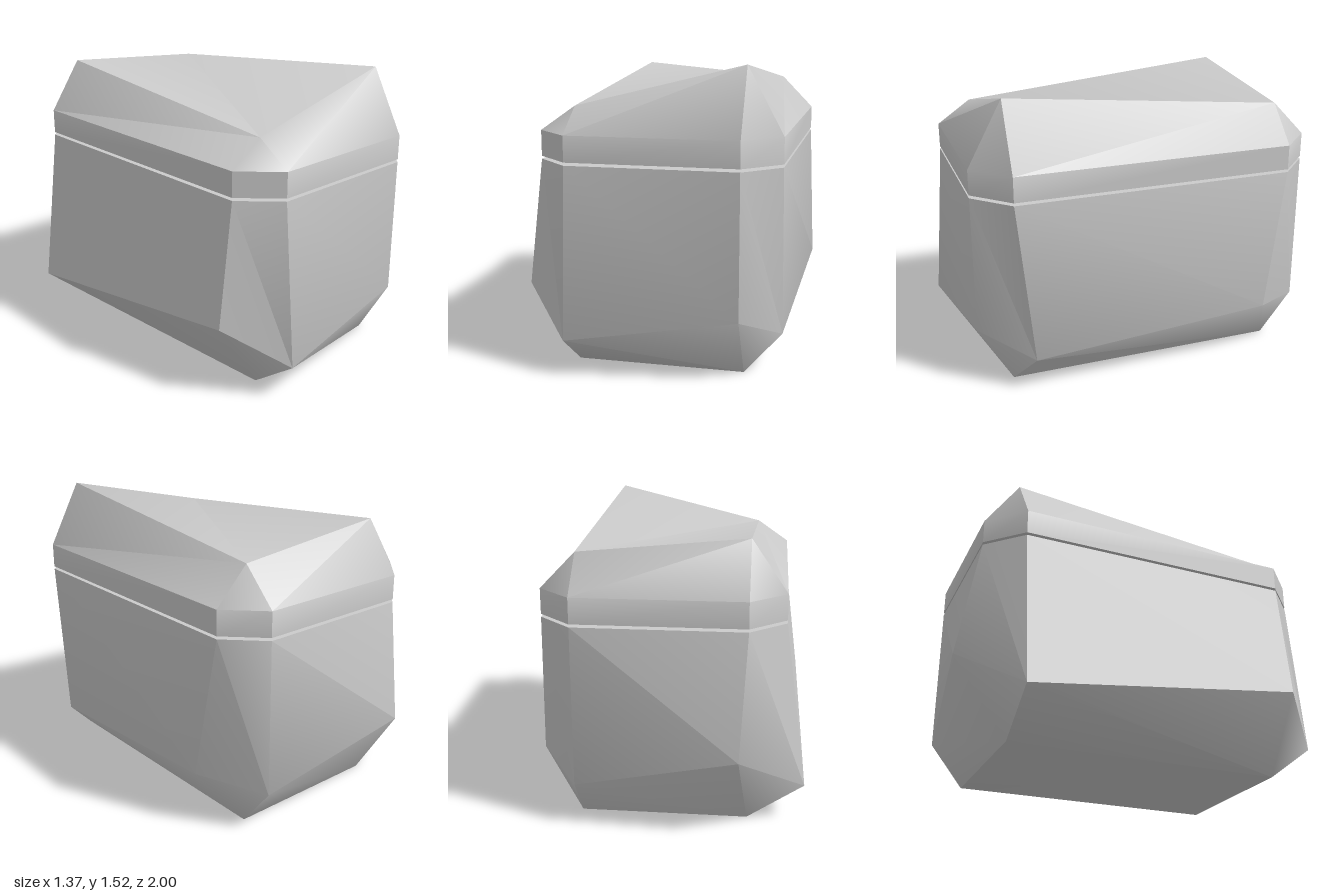
import * as THREE from 'three';
import { toCreasedNormals } from 'three/addons/utils/BufferGeometryUtils.js';

const material = new THREE.MeshStandardMaterial({ color: 0xcccccc });

// Plan of the box: four corners, each cut off between two rim points.
// Corners run front left, back left, back right, front right (seen from above).
const L = 0.46, R = -0.395, F = 0.75, B = -0.72, bevel = 0.18;
const corners = [[L, F], [L, B], [R, B], [R, F]];

function rim(y) {
  return corners.flatMap(([x, z], k) => {
    const side = [x + Math.sign(x) * bevel, y, z];
    const end = [x, y, z + Math.sign(z) * bevel];
    return k % 2 ? [side, end] : [end, side];
  });
}

const cap = (heights) => corners.map(([x, z], k) => [x, heights[k], z]);

// Closed shell: octagonal rim, wall, bevelled shoulder and four-cornered cap.
// flip turns the faces for a shell that grows downwards.
function shell(name, rimPoints, shoulder, capPoints, flip) {
  const pos = [];
  const tri = (a, b, c) => pos.push(...a, ...(flip ? [...c, ...b] : [...b, ...c]));
  const quad = (a, b, c, d) => { tri(a, b, c); tri(a, c, d); };
  for (let i = 0; i < 8; i++) {
    const j = (i + 1) % 8;
    quad(rimPoints[i], rimPoints[j], shoulder[j], shoulder[i]);
    if (i > 0 && i < 7) tri(rimPoints[0], rimPoints[j], rimPoints[i]);
  }
  for (let k = 0; k < 4; k++) {
    const n = (k + 1) % 4;
    tri(shoulder[2 * k], shoulder[2 * k + 1], capPoints[k]);
    quad(shoulder[2 * k + 1], shoulder[2 * n], capPoints[n], capPoints[k]);
  }
  quad(capPoints[1], capPoints[2], capPoints[3], capPoints[0]);
  const geometry = new THREE.BufferGeometry();
  geometry.setAttribute('position', new THREE.Float32BufferAttribute(pos, 3));
  const mesh = new THREE.Mesh(toCreasedNormals(geometry, 0.7), material);
  mesh.name = name;
  return mesh;
}

export function createModel() {
  const model = new THREE.Group();
  model.name = 'chest';

  // Body: straight rim on top, uneven shoulder below, flat base
  const bodyShoulder = [
    [0.46, 0.315, 0.93], [0.64, 0.185, 0.665],
    [0.68, 0.295, -0.6], [0.46, 0.225, -0.9],
    [-0.36, 0.42, -1.0], [-0.685, 0.19, -0.72],
    [-0.655, 0.39, 0.75], [-0.395, 0.185, 1.0],
  ];
  model.add(shell('body', rim(1.04), bodyShoulder, cap([0, 0, 0, 0]), true));

  // Lid: upright band with a twisted, sloping top
  model.add(shell('lid', rim(1.055), rim(1.185), cap([1.52, 1.37, 1.45, 1.31]), false));

  // Thin slats that keep the lid just off the body
  const slats = new THREE.Group();
  slats.name = 'slats';
  for (const z of [0.71, 0.63, 0.55, 0.465, 0.36, 0.285, 0.175, -0.26, -0.38, -0.49, -0.6]) {
    const slat = new THREE.Mesh(new THREE.BoxGeometry(0.79, 0.015, 0.022), material);
    slat.name = 'slat';
    slat.position.set(0.035, 1.0475, z);
    slats.add(slat);
  }
  model.add(slats);
  return model;
}
